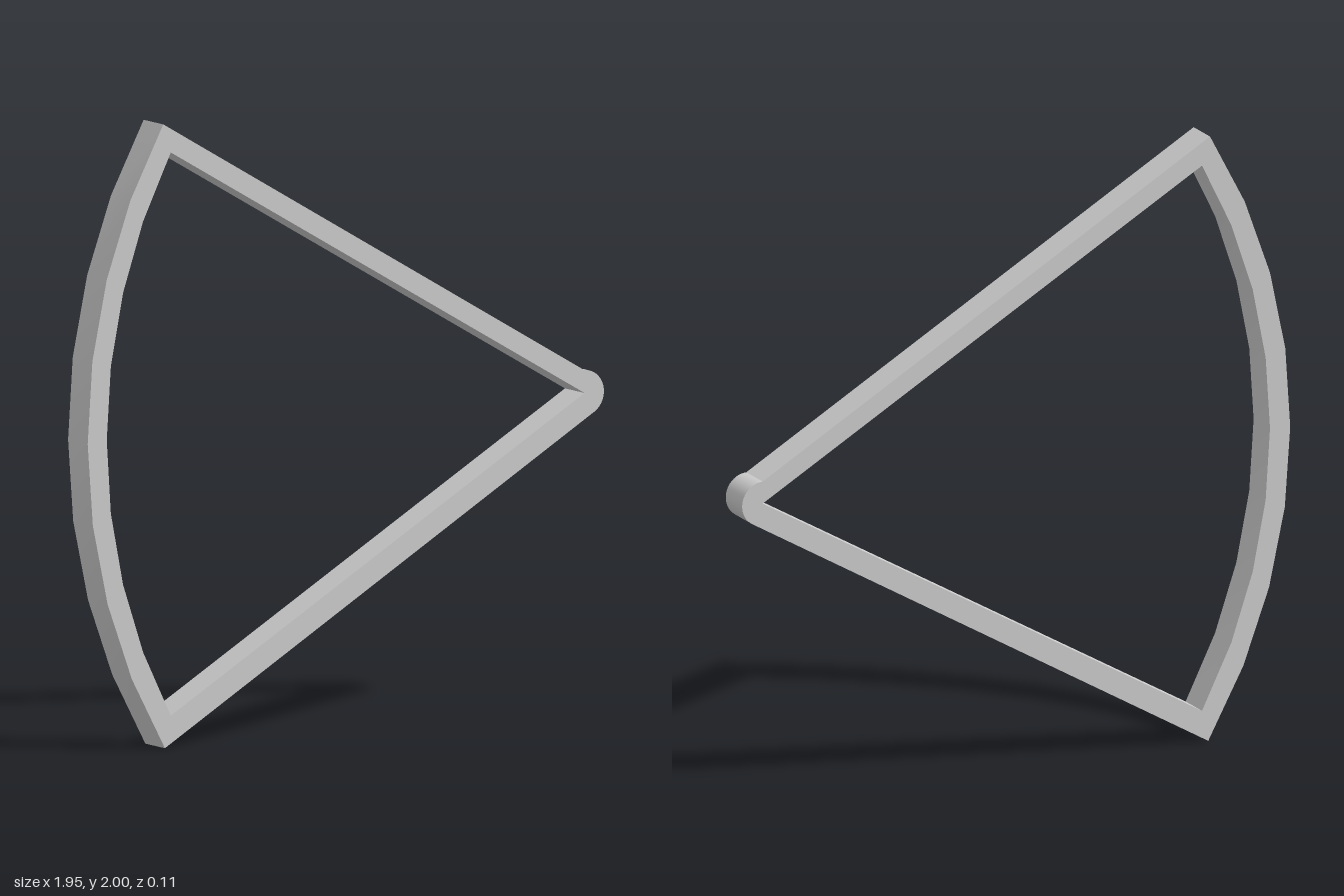
import * as THREE from 'three';
import { toCreasedNormals } from 'three/addons/utils/BufferGeometryUtils.js';

export function createModel() {
  const group = new THREE.Group();
  const material = new THREE.MeshStandardMaterial({ color: 0xcccccc });
  const depth = 0.114;
  const cx = 0.9, cy = 1.005; // pivot of the wedge
  const innerR = 1.805, outerR = 1.877, tipR = 0.073;
  const rad = THREE.MathUtils.degToRad;
  const topAngle = Math.PI - Math.asin((2 - cy) / outerR);
  const bottomAngle = Math.PI + Math.asin(cy / outerR);

  // Points along an arc around the pivot
  const arc = (radius, from, to, segments) =>
    new THREE.EllipseCurve(cx, cy, radius, radius, from, to).getPoints(segments);

  // Outer outline: curved rim, lower bar, rounded tip, upper bar
  const outline = new THREE.Shape([
    ...arc(outerR, topAngle, bottomAngle, 8),
    ...arc(tipR, rad(-60), rad(90), 20),
  ]);

  // Open middle: a 60 degree sector
  outline.holes.push(new THREE.Path([
    new THREE.Vector2(cx, cy),
    ...arc(innerR, rad(150), rad(210), 8),
  ]));

  const geometry = new THREE.ExtrudeGeometry(outline, { depth, bevelEnabled: false });
  geometry.translate(0, 0, -depth / 2);

  const frame = new THREE.Mesh(toCreasedNormals(geometry, 0.4), material);
  frame.name = 'wedgeFrame';
  group.add(frame);
  return group;
}
